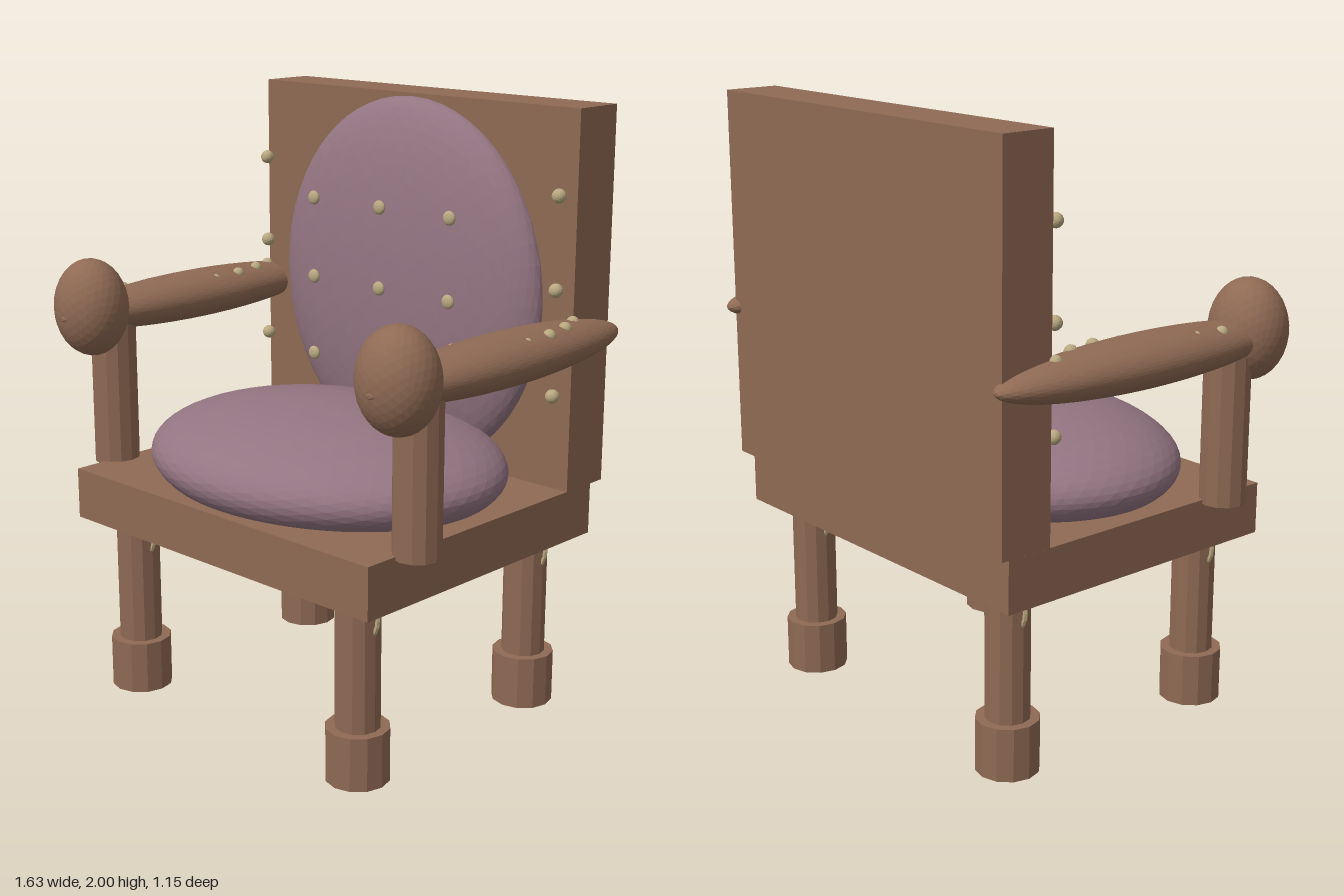
import * as THREE from 'three';

const material = (color) => new THREE.MeshStandardMaterial({ color, flatShading: true });

export function createModel() {
  const chair = new THREE.Group();
  chair.name = 'armchair';
  const wood = material(0x8f6a54);
  const fabric = material(0x937582);
  const brass = material(0xb8a880);

  const add = (name, geometry, mat, x, y, z) => {
    const mesh = new THREE.Mesh(geometry, mat);
    mesh.name = name;
    mesh.position.set(x, y, z);
    chair.add(mesh);
    return mesh;
  };
  const box = (name, w, h, d, x, y, z) =>
    add(name, new THREE.BoxGeometry(w, h, d), wood, x, y, z);
  const post = (name, r, bottom, top, x, z) =>
    add(name, new THREE.CylinderGeometry(r, r, top - bottom, 12), wood, x, (top + bottom) / 2, z);
  const ellipsoid = (name, mat, radii, position, detail) =>
    add(name, new THREE.IcosahedronGeometry(1, detail).scale(...radii), mat, ...position);
  const stud = (name, x, y, z, r = 0.023, depth = r) =>
    ellipsoid(name, brass, [r, r, depth], [x, y, z], 2);

  // Frame
  box('seatBase', 1.33, 0.17, 1.065, 0, 0.687, 0.022);
  box('backPanel', 1.36, 1.22, 0.185, 0, 1.39, -0.457);

  // Upholstery
  ellipsoid('seatCushion', fabric, [0.645, 0.19, 0.515], [0, 0.845, 0.042], 9);
  ellipsoid('backCushion', fabric, [0.56, 0.62, 0.14], [0, 1.37, -0.36], 9);

  // Legs with chunky feet and thin brass rings
  for (const x of [-0.51, 0.51]) {
    for (const z of [0.43, -0.38]) {
      post('leg', 0.072, 0.1, 0.62, x, z);
      post('foot', 0.102, 0.01, 0.185, x, z);
      for (const y of [0.55, 0.09]) {
        add('legRing', new THREE.TorusGeometry(0.081, 0.008, 6, 24), brass, x, y, z);
      }
    }
  }

  // Studs across the arm top: offset from arm centre, height, depth
  const armStuds = [
    [0, 1.34, -0.355], [0.045, 1.345, -0.255], [0.065, 1.343, -0.15],
    [0.06, 1.334, -0.045], [-0.05, 1.334, 0.165], [-0.058, 1.335, 0.27],
  ];

  // Arms
  for (const side of [-1, 1]) {
    const x = side * 0.685;
    ellipsoid('armRest', wood, [0.123, 0.08, 0.578], [x, 1.285, 0], 8);
    ellipsoid('armKnob', wood, [0.131, 0.163, 0.12], [x, 1.308, 0.455], 5);
    post('armPost', 0.076, 0.76, 1.3, x, 0.366);
    for (const [dx, y, z] of armStuds) stud('armStud', x + dx, y, z, 0.021);
    // Studs down the edge of the back panel
    for (const y of [1.1, 1.44, 1.735]) stud('edgeStud', side * 0.642, y, -0.32);
  }

  // Tufting buttons on the back cushion
  for (const x of [-0.3, 0, 0.3]) {
    for (const y of [1.1, 1.37, 1.64]) stud('backButton', x, y, -0.207, 0.024, 0.013);
  }

  return chair;
}
